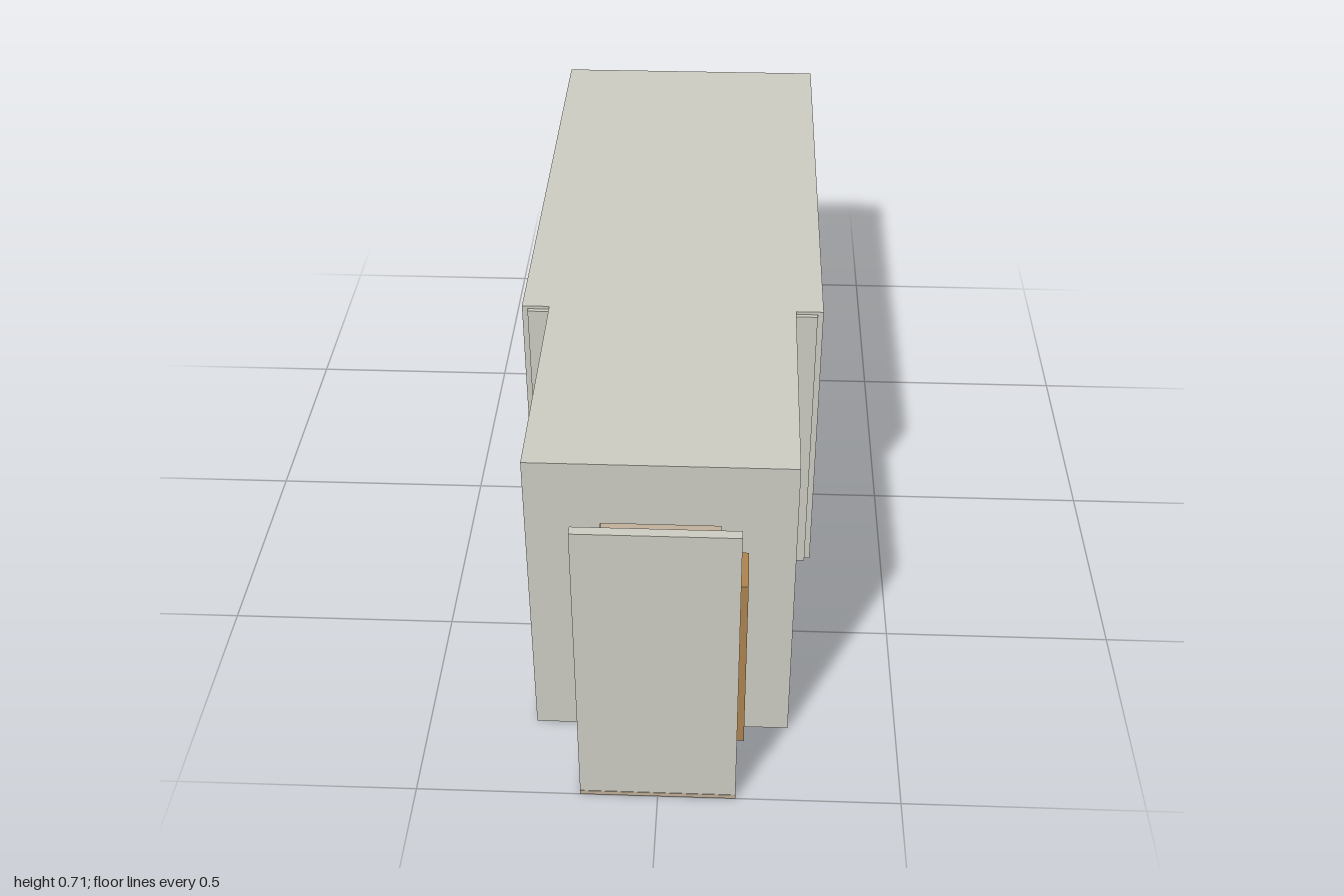
import * as THREE from 'three';

const mat = (name, color, side = THREE.FrontSide) => {
  const m = new THREE.MeshStandardMaterial({ color, side });
  m.name = name;
  return m;
};

export function createModel() {
  const model = new THREE.Group();
  model.name = 'building';
  const plaster = mat('plaster', 0xd0cfc5);
  const ceramic = mat('ceramic', 0xd0cfc5, THREE.DoubleSide);
  const tan = mat('tanFloor', 0xc4b29b);
  const wood = mat('wood', 0xb08550);

  // Box given by its minimum and maximum along each axis
  const box = (parent, name, m, [x0, x1], [y0, y1], [z0, z1]) => {
    const mesh = new THREE.Mesh(new THREE.BoxGeometry(x1 - x0, y1 - y0, z1 - z0), m);
    mesh.position.set((x0 + x1) / 2, (y0 + y1) / 2, (z0 + z1) / 2);
    mesh.name = name;
    parent.add(mesh);
    return mesh;
  };
  const group = (name) => {
    const g = new THREE.Group();
    g.name = name;
    model.add(g);
    return g;
  };
  const T = 0.0125, H = 0.707, LOW = 0.7;

  // Main hall: side walls, roof, inset back wall and shoulder walls
  const hall = group('mainHall');
  for (const s of [-1, 1]) {
    const span = (a, b) => (s > 0 ? [a, b] : [-b, -a]);
    box(hall, 'hallSideWall', plaster, span(0.33 - T, 0.33), [0, H], [-0.963, 0.245]);
    box(hall, 'shoulderWall', plaster, span(0.262, 0.317), [0, LOW], [0.243, 0.255]);
  }
  box(hall, 'hallRoof', plaster, [-0.3175, 0.3175], [LOW, H], [-0.963, 0.245]);
  box(hall, 'backWall', plaster, [-0.317, 0.317], [0, LOW], [-0.969, -0.957]);

  // Slim panel and sill on the back wall
  box(hall, 'backPanel', plaster, [-0.18, 0.18], [0.23, 0.58], [-0.973, -0.968]);
  box(hall, 'backSill', plaster, [-0.18, 0.18], [0.225, 0.237], [-0.977, -0.968]);

  // Narrow front room with a doorway to the porch
  const room = group('frontRoom');
  for (const s of [-1, 1]) {
    const span = (a, b) => (s > 0 ? [a, b] : [-b, -a]);
    box(room, 'roomSideWall', plaster, span(0.27 - T, 0.27), [0, H], [0.245, 0.8]);
    box(room, 'doorSideWall', plaster, span(0.12, 0.2575), [0, H], [0.79, 0.8]);
  }
  box(room, 'doorLintel', plaster, [-0.12, 0.12], [0.56, H], [0.79, 0.8]);
  box(room, 'roomRoof', plaster, [-0.2575, 0.2575], [LOW, H], [0.245, 0.79]);

  // Tiled floors: a thin slab over a grid of tiles
  const tiledFloor = (name, m, [x0, x1], [z0, z1], cols, rows) => {
    const g = group(name);
    const gap = 0.002, w = (x1 - x0) / cols, d = (z1 - z0) / rows;
    box(g, 'floorSlab', m, [x0 + gap, x1 - gap], [0.003, 0.006], [z0 + gap, z1 - gap]);
    for (let i = 0; i < cols; i++) {
      for (let j = 0; j < rows; j++) {
        const x = x0 + i * w, z = z0 + j * d;
        box(g, 'floorTile', m, [x + gap, x + w - gap], [0, 0.005], [z + gap, z + d - gap]);
      }
    }
  };
  tiledFloor('hallFloor', tan, [-0.31, 0.305], [-1, 0.25], 5, 10);
  tiledFloor('roomFloor', wood, [-0.257, 0.257], [0.25, 0.79], 5, 6);
  // Plain borders between the hall tiles and the walls
  for (const s of [-1, 1]) {
    box(model, 'floorBorder', tan, s > 0 ? [0.305, 0.3175] : [-0.3175, -0.31], [0, 0.004], [-0.957, 0.243]);
  }

  // Porch: floor and freestanding screen wall
  const porch = group('porch');
  box(porch, 'porchFloor', tan, [-0.16, 0.16], [0, 0.01], [0.79, 1]);
  box(porch, 'screenWall', plaster, [-0.16, 0.16], [0.01, LOW], [0.978, 0.999]);

  // Wooden cabinet with a bracket and a hanging roll
  const cabinet = group('cabinet');
  box(cabinet, 'cabinetBody', wood, [0.08, 0.174], [0.148, 0.563], [0.88, 0.978]);
  box(cabinet, 'bracket', wood, [0.085, 0.12], [0.48, 0.53], [0.865, 0.88]);
  const roll = new THREE.Mesh(new THREE.CylinderGeometry(0.008, 0.008, 0.11, 16), plaster);
  roll.position.set(0.105, 0.425, 0.873);
  roll.name = 'hangingRoll';
  cabinet.add(roll);

  // Pedestal with a wider lid
  const seat = group('pedestalSeat');
  box(seat, 'pedestal', plaster, [-0.08, 0.075], [0.01, 0.25], [0.84, 0.978]);
  box(seat, 'lid', plaster, [-0.09, 0.085], [0.25, 0.265], [0.827, 0.978]);

  // Open bin beside the doorway
  const bin = new THREE.Mesh(new THREE.CylinderGeometry(0.048, 0.048, 0.215, 24, 1, true), ceramic);
  bin.position.set(0.102, 0.1175, 0.817);
  bin.name = 'bin';
  porch.add(bin);

  return model;
}
